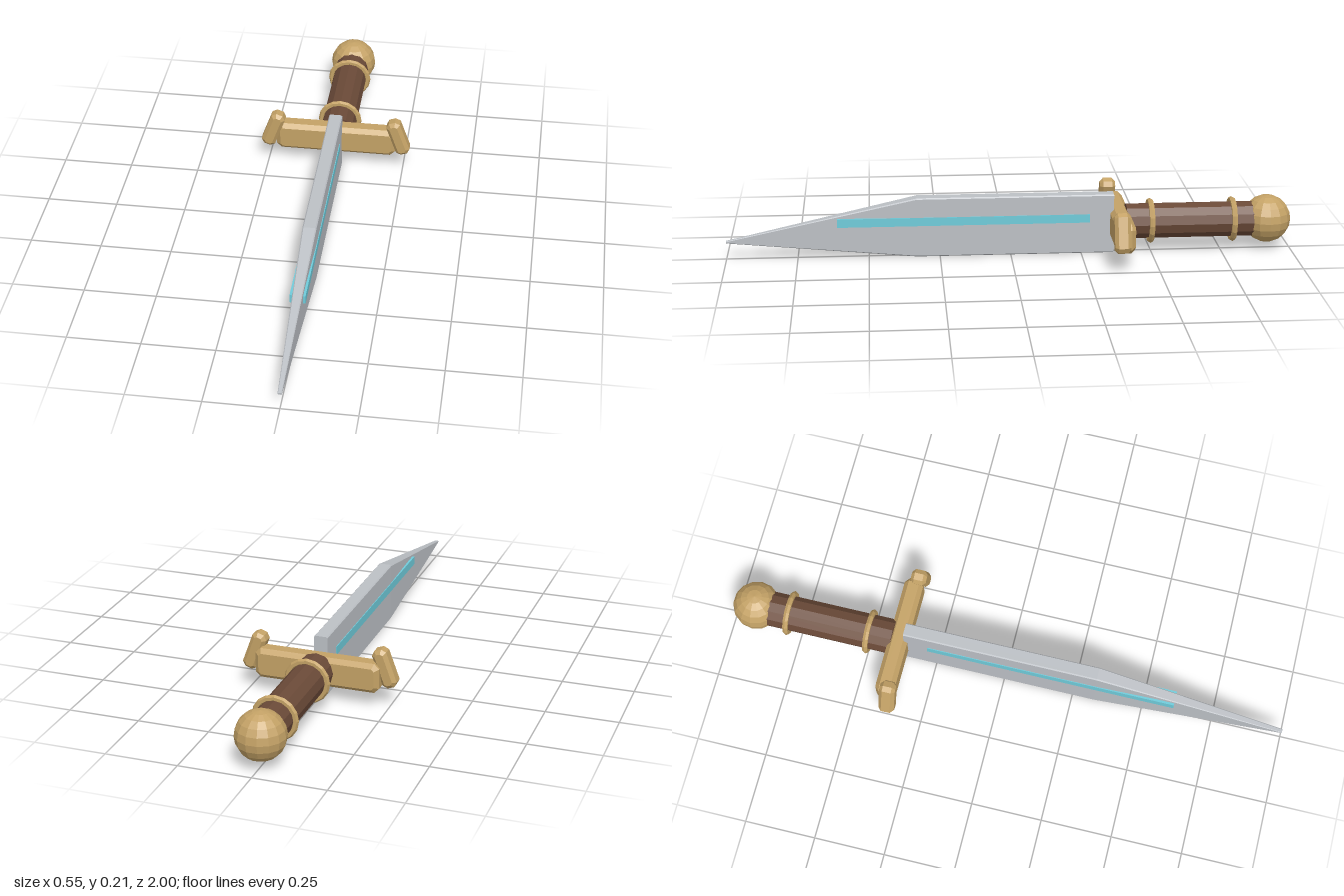
import * as THREE from 'three';

const material = (name, color) => {
  const m = new THREE.MeshStandardMaterial({ color, flatShading: true });
  m.name = name;
  return m;
};

// Box with chamfered edges, centred on the origin
function chamferBox(w, h, d, c) {
  const x = w / 2 - c, y = h / 2 - c, k = c * 0.6;
  const s = new THREE.Shape([
    [-x + k, -y], [x - k, -y], [x, -y + k], [x, y - k],
    [x - k, y], [-x + k, y], [-x, y - k], [-x, -y + k],
  ].map(p => new THREE.Vector2(...p)));
  const g = new THREE.ExtrudeGeometry(s, {
    depth: d - 2 * c, bevelEnabled: true, bevelSize: c, bevelThickness: c, bevelSegments: 1,
  });
  return g.translate(0, 0, c - d / 2);
}

// Blade lofted through chamfered rectangles [z, half width, bottom, top, chamfer]
function bladeGeometry(sections) {
  const rings = sections.map(([z, w, b, t, c]) => [
    [w - c, b], [w, b + c], [w, t - c], [w - c, t],
    [-w + c, t], [-w, t - c], [-w, b + c], [-w + c, b],
  ].map(([x, y]) => [x, y, z]));
  const pos = [], n = 8;
  for (let i = 0; i + 1 < rings.length; i++) {
    for (let j = 0; j < n; j++) {
      const k = (j + 1) % n;
      const a = rings[i][j], b = rings[i][k], c = rings[i + 1][k], d = rings[i + 1][j];
      pos.push(...a, ...b, ...c, ...a, ...c, ...d);
    }
  }
  // End caps
  const first = rings[0], last = rings[rings.length - 1];
  for (let j = 1; j + 1 < n; j++) {
    pos.push(...first[0], ...first[j + 1], ...first[j]);
    pos.push(...last[0], ...last[j], ...last[j + 1]);
  }
  const g = new THREE.BufferGeometry();
  g.setAttribute('position', new THREE.Float32BufferAttribute(pos, 3));
  g.computeVertexNormals();
  return g;
}

export function createModel() {
  const steel = material('steel', 0xbcc0c5);
  const gold = material('gold', 0xc4a266);
  const leather = material('brown leather', 0x6b4a38);
  const glow = material('pale blue inlay', 0x6fcbda);

  const model = new THREE.Group();
  model.name = 'dagger';
  const add = (name, geometry, mat, x, y, z) => {
    const mesh = new THREE.Mesh(geometry, mat);
    mesh.name = name;
    mesh.position.set(x, y, z);
    model.add(mesh);
    return mesh;
  };
  const axisY = 0.111;

  // Blade with a straight body and a long tapering point
  add('blade', bladeGeometry([
    [-0.365, 0.024, 0.002, 0.216, 0.004],
    [0.33, 0.024, 0.002, 0.216, 0.004],
    [1, 0.007, 0.061, 0.068, 0.002],
  ]), steel, 0, 0, 0);

  // Guard bar, with an inlay strip and a tilted end block on each side
  add('guardBar', chamferBox(0.44, 0.106, 0.068, 0.015), gold, 0, 0.109, -0.386);
  for (const [side, s] of [['left', 1], ['right', -1]]) {
    add(side + 'Inlay', new THREE.BoxGeometry(0.008, 0.03, 0.89), glow, s * 0.0225, 0.131, 0.165);
    const end = add(side + 'GuardEnd', chamferBox(0.053, 0.138, 0.056, 0.012), gold, s * 0.231, 0.139, -0.369);
    end.rotation.z = s * 0.35;
  }

  // Grip, rings and pommel along the handle axis
  const grip = new THREE.CylinderGeometry(0.063, 0.063, 0.47, 12).rotateX(Math.PI / 2);
  add('grip', grip, leather, 0, axisY, -0.645);
  for (const [name, z] of [['frontRing', -0.497], ['backRing', -0.79]]) {
    add(name, new THREE.TorusGeometry(0.07, 0.0105, 6, 16), gold, 0, axisY, z);
  }
  add('pommel', new THREE.SphereGeometry(0.085, 14, 10), gold, 0, axisY, -0.915);

  return model;
}
